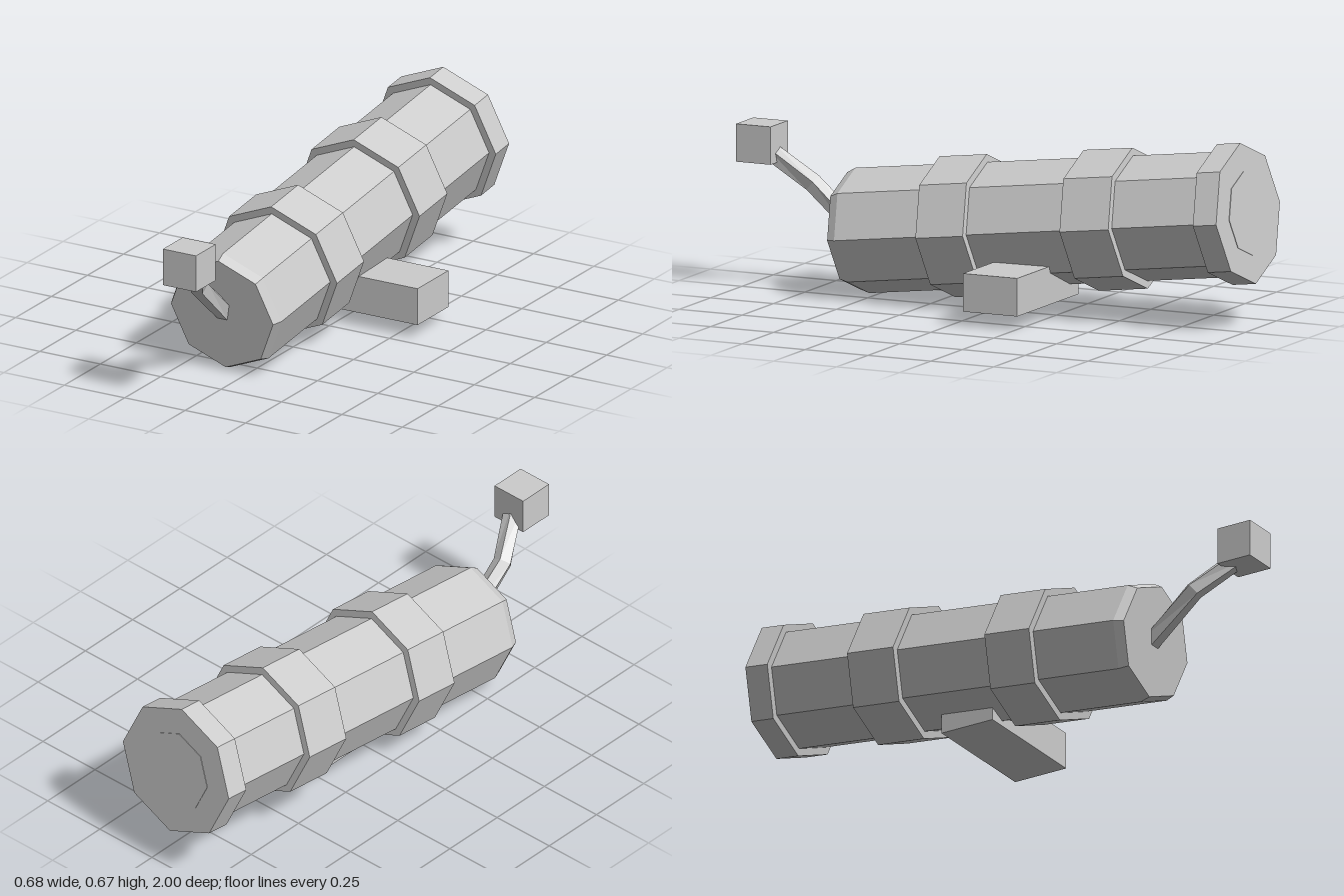
import * as THREE from 'three';

export function createModel() {
  const model = new THREE.Group();
  const grey = new THREE.MeshStandardMaterial({ color: 0xcccccc, flatShading: true });
  grey.name = 'light grey';

  const add = (parent, name, geometry, x = 0, y = 0, z = 0) => {
    const mesh = new THREE.Mesh(geometry, grey);
    mesh.name = name;
    mesh.position.set(x, y, z);
    parent.add(mesh);
    return mesh;
  };

  // Tilted barrel: local origin at the front face centre, local -z runs to the back
  const barrel = new THREE.Group();
  barrel.name = 'barrel';
  barrel.position.set(-0.086, 0.225, 0.599);
  barrel.rotation.x = 0.1225;
  model.add(barrel);

  // Octagonal section from depth a to depth b behind the front face
  const section = (name, a, b, frontRadius, backRadius = frontRadius) =>
    add(barrel, name,
      new THREE.CylinderGeometry(frontRadius, backRadius, b - a, 8).rotateX(Math.PI / 2),
      0, 0, -(a + b) / 2);

  section('frontBevel', 0, 0.035, 0.211, 0.226);
  section('tube', 0.035, 1.5, 0.226);
  section('frontBand', 0.375, 0.564, 0.254);
  section('middleBand', 0.952, 1.147, 0.254);
  section('backCap', 1.486, 1.579, 0.254);
  section('backPlate', 1.575, 1.581, 0.152);

  // Bent five-sided rod, swept through three cross-sections
  const path = [[-0.087, 0.225, 0.575], [-0.087, 0.385, 0.762], [-0.002, 0.52, 0.92]]
    .map((p) => new THREE.Vector3(...p));
  const sides = 5, radius = 0.0355, points = [], index = [];
  path.forEach((p, i) => {
    const along = new THREE.Vector3();
    if (i > 0) along.add(p.clone().sub(path[i - 1]).normalize());
    if (i < path.length - 1) along.add(path[i + 1].clone().sub(p).normalize());
    along.normalize();
    const side = new THREE.Vector3(0, 1, 0).cross(along).normalize();
    const up = along.clone().cross(side);
    for (let k = 0; k < sides; k++) {
      const t = (k / sides) * Math.PI * 2;
      const v = p.clone()
        .addScaledVector(side, radius * Math.sin(t))
        .addScaledVector(up, radius * Math.cos(t));
      points.push(v.x, v.y, v.z);
      if (i < path.length - 1) {
        const a = i * sides + k, b = i * sides + ((k + 1) % sides);
        index.push(a, a + sides, b, b, a + sides, b + sides);
      }
    }
  });
  const rod = new THREE.BufferGeometry();
  rod.setAttribute('position', new THREE.Float32BufferAttribute(points, 3));
  rod.setIndex(index);
  const rodGeometry = rod.toNonIndexed();
  rodGeometry.computeVertexNormals();
  // Sections run clockwise around the path, so check the winding faces outward
  const pos = rodGeometry.attributes.position, n = rodGeometry.attributes.normal;
  const outward = new THREE.Vector3().fromBufferAttribute(pos, 0).sub(path[0])
    .dot(new THREE.Vector3().fromBufferAttribute(n, 0));
  if (outward < 0) {
    rod.setIndex(index.reverse());
    rodGeometry.copy(rod.toNonIndexed());
    rodGeometry.computeVertexNormals();
  }
  add(model, 'bentRod', rodGeometry);

  // Cube knob at the end of the rod
  add(model, 'knob', new THREE.BoxGeometry(0.137, 0.137, 0.137), -0.023, 0.532, 0.932);

  // Side block passing under the barrel
  add(model, 'sideBlock', new THREE.BoxGeometry(0.488, 0.138, 0.215), 0.094, 0.126, -0.155);

  return model;
}
